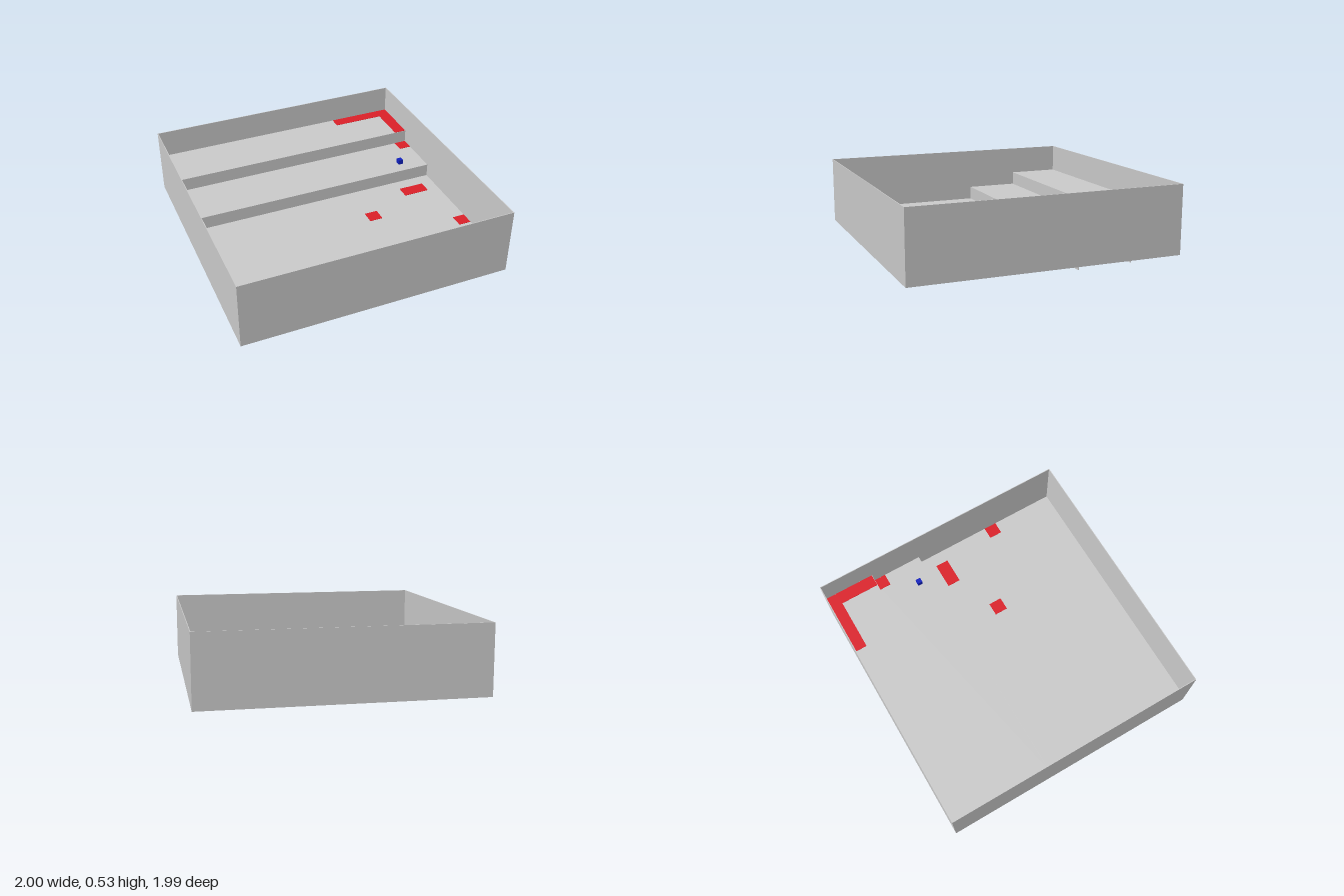
import * as THREE from 'three';

const grey = new THREE.MeshStandardMaterial({ color: 0xcccccc });
const red = new THREE.MeshStandardMaterial({ color: 0xdd2029 });
const blue = new THREE.MeshStandardMaterial({ color: 0x1020c0 });

export function createModel() {
  const model = new THREE.Group();

  // Box given by its extents along each axis
  const block = (name, [x0, x1], [y0, y1], [z0, z1], material = grey) => {
    const mesh = new THREE.Mesh(new THREE.BoxGeometry(x1 - x0, y1 - y0, z1 - z0), material);
    mesh.position.set((x0 + x1) / 2, (y0 + y1) / 2, (z0 + z1) / 2);
    mesh.name = name;
    model.add(mesh);
  };

  const X = 1, Z = 0.995, T = 0.005;
  const wallY = [0.022, 0.527];

  // Outer walls, open at top and bottom
  block('leftWall', [X - T, X], wallY, [-Z, Z]);
  block('rightWall', [-X, -X + T], wallY, [-Z, Z]);
  block('frontWall', [-X + T, X - T], wallY, [Z - T, Z]);
  block('backWall', [-X + T, X - T], wallY, [-Z, -Z + T]);

  // Three terraces rising to the back
  const inner = [-X + T, X - T];
  const low = 0.112, middle = 0.213, high = 0.315;
  const floor = (name, y, z) => block(name, inner, [y - 0.003, y], z);
  floor('lowerFloor', low, [-0.2, Z - T]);
  floor('middleFloor', middle, [-0.6, -0.2]);
  floor('upperFloor', high, [-Z + T, -0.6]);

  // Riser panels reaching just below the walls
  block('lowerRiser', inner, [0, middle], [-0.2 - T / 2, -0.2 + T / 2]);
  block('upperRiser', inner, [0.008, high], [-0.6 - T / 2, -0.6 + T / 2]);

  // Red floor tiles, showing on both faces of the floors
  const tile = (y, x, z) => block('redTile', x, [y - 0.005, y + 0.002], z, red);
  tile(high, [0.5, 0.994], [-0.989, -0.9]);
  tile(high, [0.9, 0.994], [-0.9, -0.6]);
  tile(middle, [0.9, 0.994], [-0.597, -0.5]);
  tile(low, [0.7, 0.9], [-0.1, 0]);
  tile(low, [0.3, 0.4], [0.1, 0.2]);
  tile(low, [0.9, 0.994], [0.4, 0.5]);

  // Small cube on the middle terrace
  block('blueCube', [0.777, 0.815], [0.217, 0.255], [-0.319, -0.281], blue);

  return model;
}
